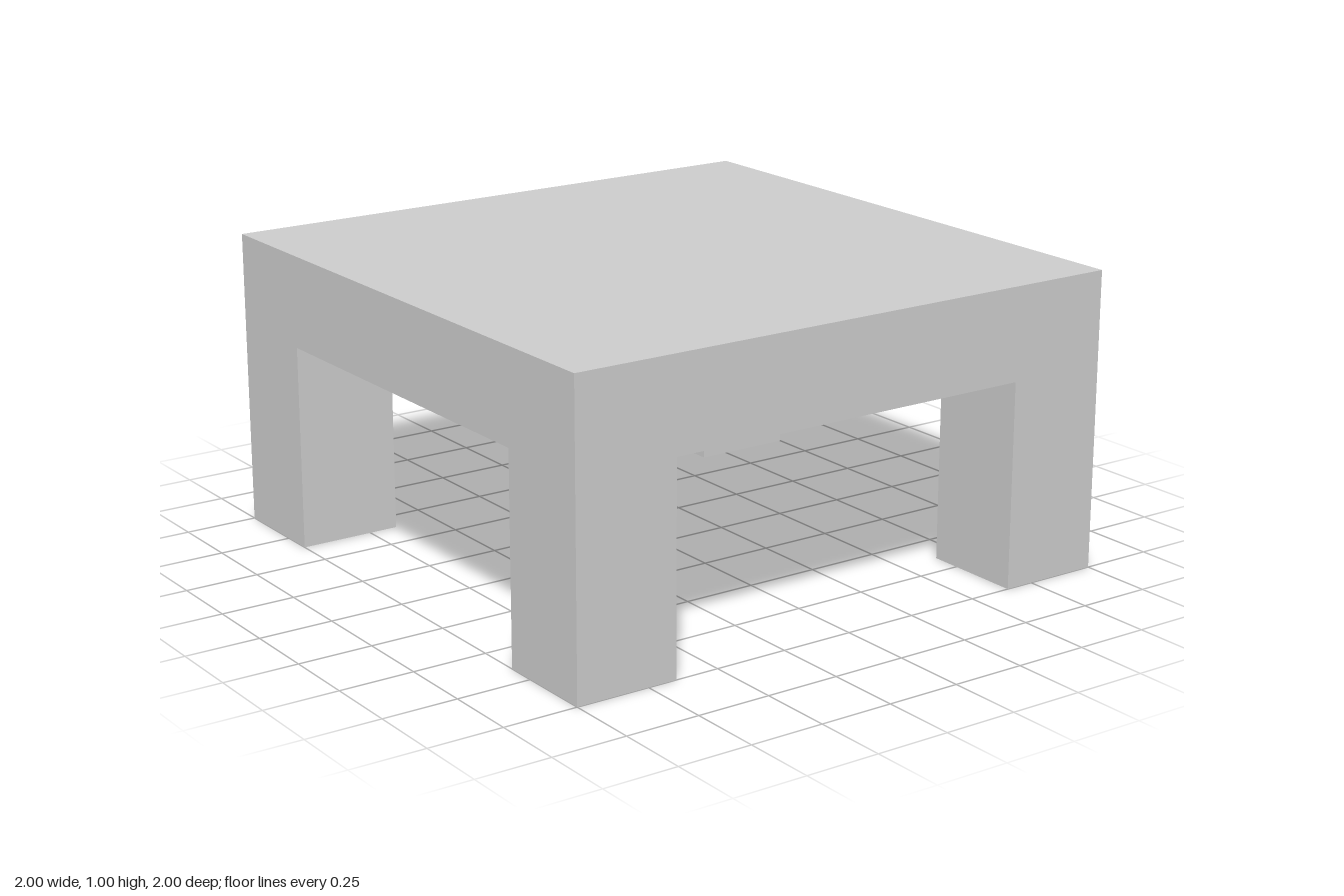
import * as THREE from 'three';

export function createModel() {
  const group = new THREE.Group();
  const material = new THREE.MeshStandardMaterial({ color: 0xcccccc, flatShading: true });
  const legHeight = 0.69;
  const legWidth = 0.35;

  function addBox(name, size, position) {
    const mesh = new THREE.Mesh(new THREE.BoxGeometry(...size), material);
    mesh.name = name;
    mesh.position.set(...position);
    group.add(mesh);
  }

  // Thick square top
  addBox('tableTop', [2, 1 - legHeight, 2], [0, (1 + legHeight) / 2, 0]);

  // Corner legs, flush with the top; the back right one is slightly deeper
  for (const sx of [-1, 1]) {
    for (const sz of [-1, 1]) {
      const depth = sx < 0 && sz < 0 ? 0.36 : legWidth;
      const name = (sz > 0 ? 'front' : 'back') + (sx > 0 ? 'Left' : 'Right') + 'Leg';
      addBox(name, [legWidth, legHeight, depth],
        [sx * (1 - legWidth / 2), legHeight / 2, sz * (1 - depth / 2)]);
    }
  }
  return group;
}
